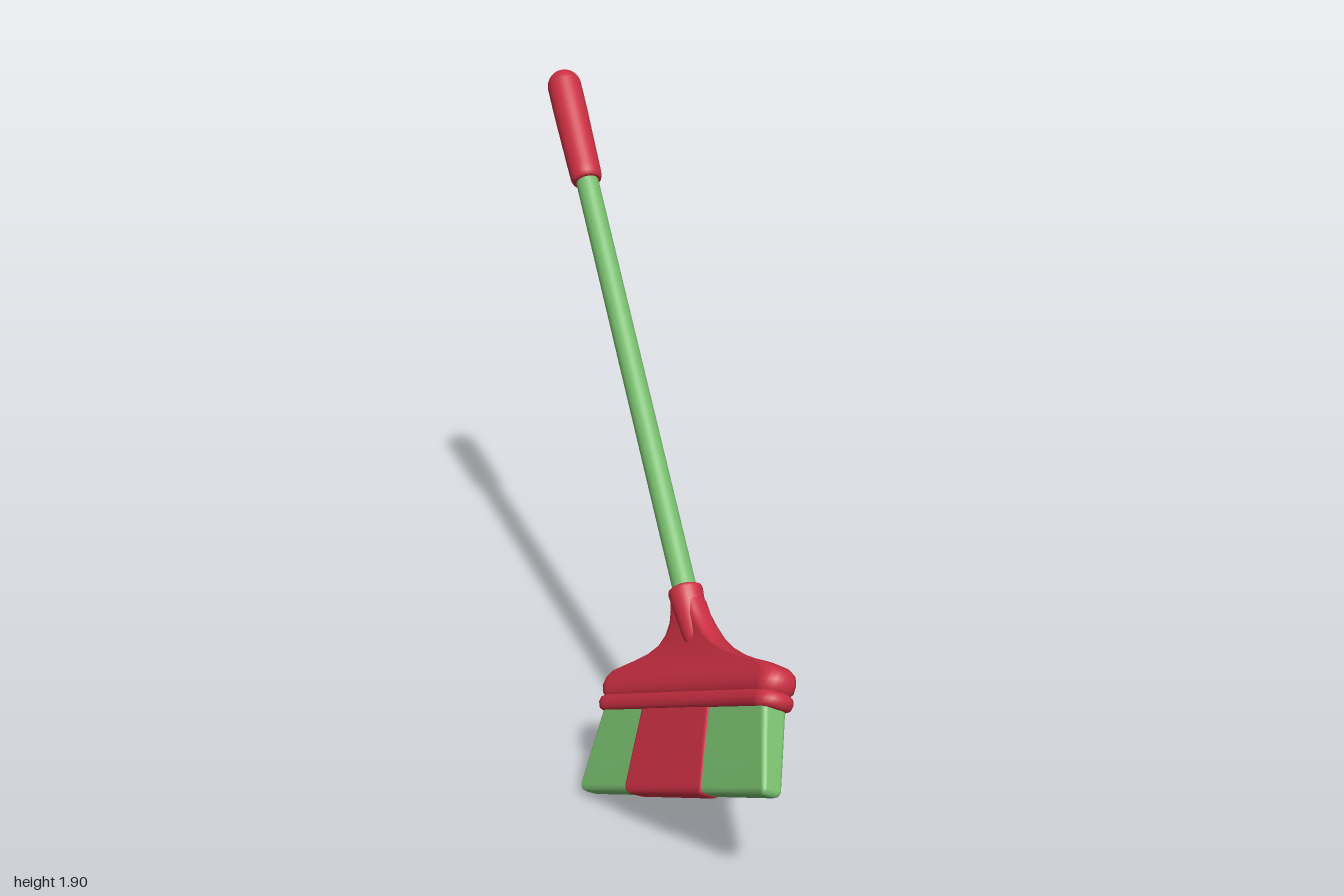
import * as THREE from 'three';

const red = new THREE.MeshStandardMaterial({ color: 0xc92f42 });
red.name = 'red plastic';
const green = new THREE.MeshStandardMaterial({ color: 0x76bb6c });
green.name = 'green';

// Skins rounded-rectangle slices [y, left, right, zCentre, halfDepth], listed from bottom to top.
function loft(sections, cornerRatio) {
  const pos = [], idx = [], steps = 6;
  const rings = sections.map(([y, l, r, cz, t]) => {
    const k = t * cornerRatio, ring = [];
    for (let q = 0; q < 4; q++) {
      const x = q === 0 || q === 3 ? r - k : l + k;
      const z = cz + (q < 2 ? t - k : k - t);
      for (let s = 0; s <= steps; s++) {
        const a = (q + s / steps) * Math.PI / 2;
        ring.push([x + k * Math.cos(a), y, z + k * Math.sin(a)]);
      }
    }
    return ring;
  });
  const n = rings[0].length;
  rings.forEach(ring => ring.forEach(p => pos.push(...p)));
  for (let j = 0; j < rings.length - 1; j++) {
    for (let i = 0; i < n; i++) {
      const a = j * n + i, b = j * n + (i + 1) % n;
      idx.push(a, a + n, b, b, a + n, b + n);
    }
  }
  // flat caps on their own vertices
  [0, rings.length - 1].forEach(j => {
    const [y, l, r, cz] = sections[j], c = pos.length / 3;
    pos.push((l + r) / 2, y, cz);
    rings[j].forEach(p => pos.push(...p));
    for (let i = 0; i < n; i++) {
      const a = c + 1 + i, b = c + 1 + (i + 1) % n;
      if (j === 0) idx.push(c, a, b); else idx.push(c, b, a);
    }
  });
  const g = new THREE.BufferGeometry();
  g.setAttribute('position', new THREE.Float32BufferAttribute(pos, 3));
  g.setIndex(idx);
  g.computeVertexNormals();
  return g;
}

function add(parent, name, geometry, material) {
  const m = new THREE.Mesh(geometry, material);
  m.name = name;
  parent.add(m);
  return m;
}

function createHead() {
  const head = new THREE.Group();
  head.name = 'head';

  // lower rim band
  add(head, 'rim', loft([
    [-0.062, -0.405, 0.405, 0, 0.05],
    [-0.056, -0.418, 0.418, 0, 0.06],
    [-0.040, -0.424, 0.424, 0, 0.064],
    [-0.024, -0.420, 0.420, 0, 0.061],
    [-0.014, -0.405, 0.405, 0, 0.05],
  ], 0.9), red);

  // hood that narrows from the rim to the neck
  add(head, 'hood', loft([
    [-0.020, -0.405, 0.405, 0, 0.05],
    [-0.008, -0.418, 0.418, 0, 0.06],
    [0.015, -0.422, 0.422, 0, 0.062],
    [0.040, -0.415, 0.415, 0, 0.058],
    [0.058, -0.395, 0.390, 0, 0.052],
    [0.072, -0.350, 0.340, 0, 0.049],
    [0.085, -0.300, 0.270, 0, 0.047],
    [0.105, -0.235, 0.190, 0, 0.045],
    [0.130, -0.185, 0.125, 0.002, 0.043],
    [0.160, -0.155, 0.077, 0.006, 0.042],
    [0.195, -0.135, 0.040, 0.014, 0.042],
    [0.230, -0.125, 0.012, 0.025, 0.043],
    [0.265, -0.121, -0.006, 0.036, 0.045],
    [0.290, -0.118, -0.025, 0.043, 0.042],
  ], 0.9), red);

  // flared bristle blocks: [name, material, top left, top right, bottom left, bottom right, extra depth]
  [
    ['rightBristles', green, -0.39, -0.17, -0.445, -0.19, 0],
    ['centreBristles', red, -0.19, 0.145, -0.21, 0.17, 0.004],
    ['leftBristles', green, 0.13, 0.39, 0.15, 0.445, 0],
  ].forEach(([name, material, tl, tr, bl, br, d]) => {
    add(head, name, loft([
      [-0.306 - d, bl + 0.016, br - 0.016, 0, 0.020 + d],
      [-0.301 - d, bl + 0.005, br - 0.005, 0, 0.029 + d],
      [-0.288, bl, br, 0, 0.034 + d],
      [-0.17, (bl + tl) / 2, (br + tr) / 2, 0, 0.039 + d],
      [-0.05, tl, tr, 0, 0.043 + d],
    ], 0.4), material);
  });

  // tilt the head into place
  const x = new THREE.Vector3(0.915, 0.402, -0.03).normalize();
  const z = new THREE.Vector3(-0.177, 0.489, 0.856);
  z.addScaledVector(x, -z.dot(x)).normalize();
  const y = new THREE.Vector3().crossVectors(z, x);
  head.quaternion.setFromRotationMatrix(new THREE.Matrix4().makeBasis(x, y, z));
  head.position.set(0.485, 0.44, 0.23);
  return head;
}

function createHandle() {
  const handle = new THREE.Group();
  handle.name = 'handle';
  const bottom = new THREE.Vector3(0.31, 0.66, 0.125);
  const top = new THREE.Vector3(-0.945, 1.865, -0.365);
  const dir = top.clone().sub(bottom);
  const length = dir.length();
  const lathe = pts => new THREE.LatheGeometry(pts.map(p => new THREE.Vector2(...p)), 32);

  add(handle, 'pole', new THREE.CylinderGeometry(0.036, 0.036, length, 32), green).position.y = length / 2;

  // grip with a domed end
  const grip = [[0, -0.37], [0.038, -0.37], [0.046, -0.366], [0.05, -0.355], [0.051, -0.33], [0.055, -0.1]];
  for (let i = 0; i <= 10; i++) {
    const a = i / 10 * Math.PI / 2;
    grip.push([0.055 * Math.cos(a), 0.055 * Math.sin(a)]);
  }
  add(handle, 'grip', lathe(grip), red).position.y = length;

  // socket fading into the hood
  add(handle, 'socket', lathe([
    [0, -0.19], [0.018, -0.185], [0.031, -0.17], [0.038, -0.145], [0.044, -0.09],
    [0.05, -0.03], [0.052, 0], [0.05, 0.008], [0.044, 0.012], [0, 0.012],
  ]), red);

  handle.position.copy(bottom);
  handle.quaternion.setFromUnitVectors(new THREE.Vector3(0, 1, 0), dir.normalize());
  return handle;
}

export function createModel() {
  const model = new THREE.Group();
  model.name = 'broom';
  model.add(createHead(), createHandle());
  return model;
}
